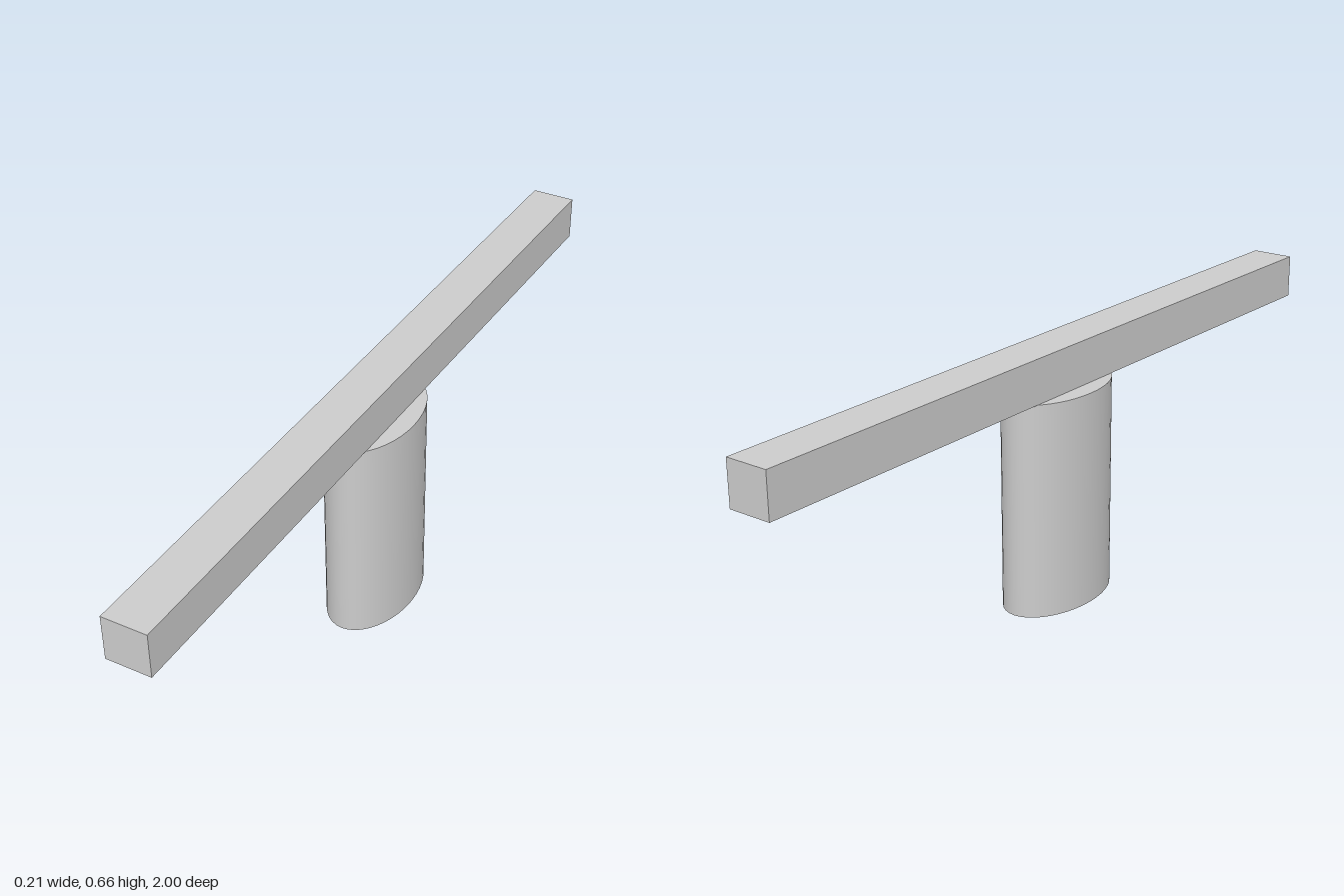
import * as THREE from 'three';

export function createModel() {
  const group = new THREE.Group();
  const material = new THREE.MeshStandardMaterial({ color: 0xcccccc });
  const columnHeight = 0.549;
  const beamSize = 0.112;

  // Upright column with an elliptical section, longer along the beam
  const columnGeometry = new THREE.CylinderGeometry(1, 1, columnHeight, 40);
  columnGeometry.scale(0.104, 1, 0.174);
  const column = new THREE.Mesh(columnGeometry, material);
  column.name = 'column';
  column.position.y = columnHeight / 2;
  group.add(column);

  // Long square beam resting on the column
  const beam = new THREE.Mesh(new THREE.BoxGeometry(beamSize, beamSize, 2), material);
  beam.name = 'beam';
  beam.position.y = columnHeight + beamSize / 2;
  group.add(beam);

  return group;
}
